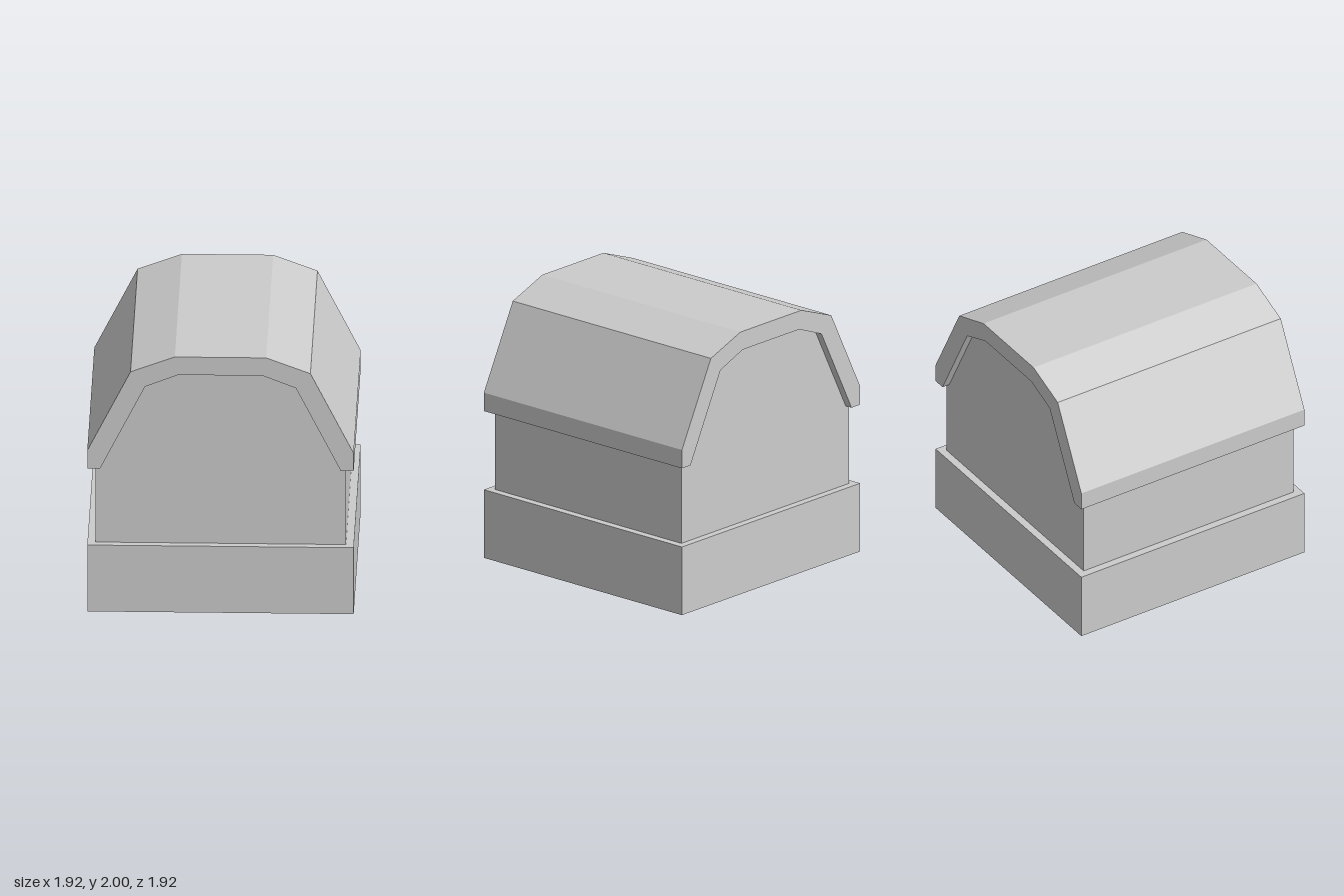
import * as THREE from 'three';

const material = new THREE.MeshStandardMaterial({ color: 0xcccccc, flatShading: true });

// Mirrors a right-hand half profile (listed bottom to top) to its full outline
const mirrored = (half) => [...half, ...half.map(([x, y]) => [-x, y]).reverse()];

// Extrudes an outline along z, centred on z = 0
function prism(name, points, depth) {
  const shape = new THREE.Shape(points.map(([x, y]) => new THREE.Vector2(x, y)));
  const geometry = new THREE.ExtrudeGeometry(shape, { depth, bevelEnabled: false });
  geometry.translate(0, 0, -depth / 2);
  const mesh = new THREE.Mesh(geometry, material);
  mesh.name = name;
  return mesh;
}

export function createModel() {
  const model = new THREE.Group();
  model.name = 'barn';

  // Square plinth
  const base = new THREE.Mesh(new THREE.BoxGeometry(1.925, 0.52, 1.925), material);
  base.name = 'base';
  base.position.y = 0.26;
  model.add(base);

  // Walls with gable ends, their top edges buried in the roof
  const wallHalf = [[0.905, 0.52], [0.905, 1.2], [0.59, 1.8], [0.32, 1.91]];
  model.add(prism('walls', mirrored(wallHalf), 1.81));

  // Thick gambrel roof shell overhanging all round
  const outer = [[0.9625, 1.12], [0.9625, 1.26], [0.65, 1.88], [0.33, 2]];
  const inner = [[0.87, 1.12], [0.545, 1.765], [0.305, 1.86]];
  model.add(prism('roof', [...mirrored(outer), ...mirrored(inner).reverse()], 1.925));

  return model;
}
